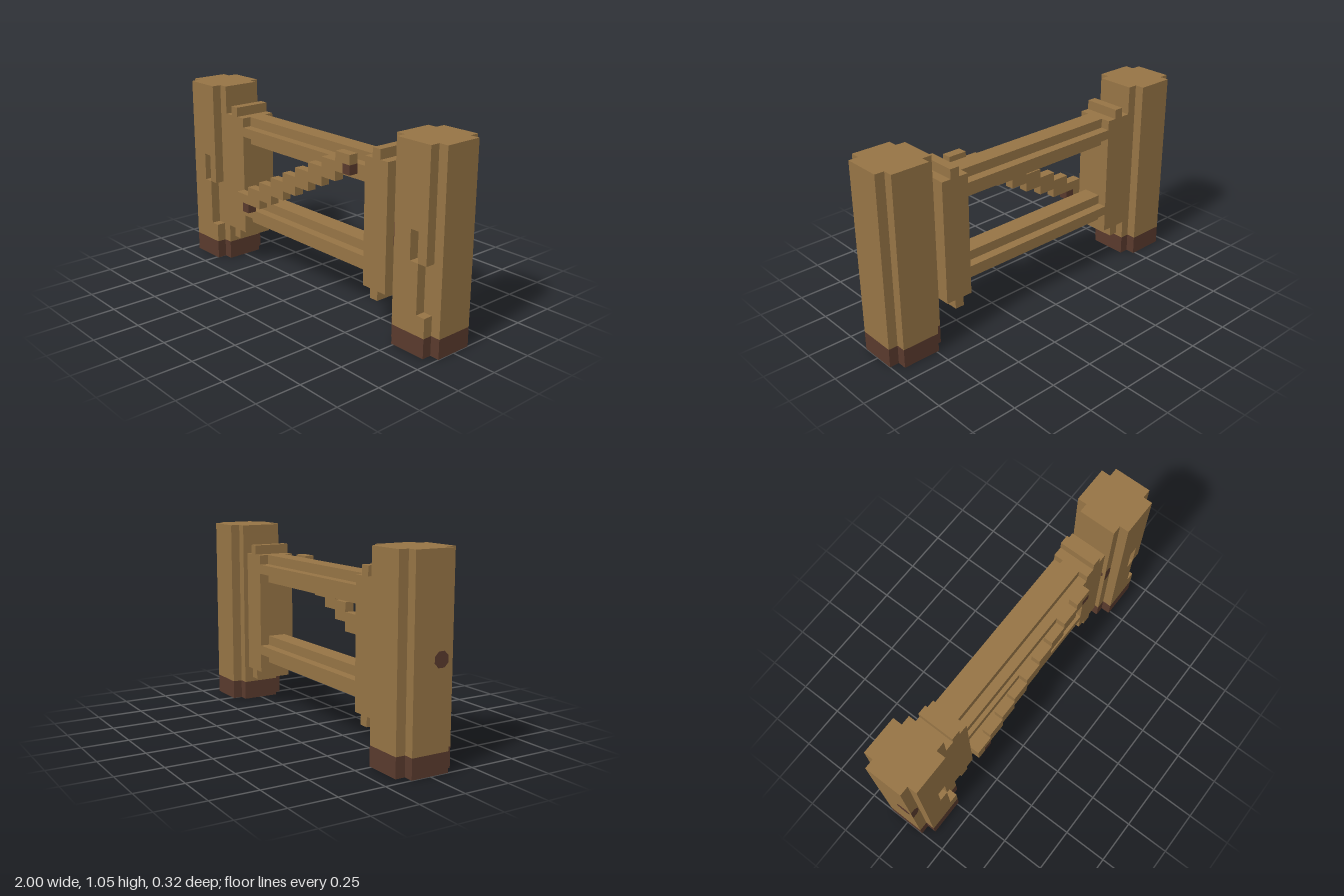
import * as THREE from 'three';
import { mergeGeometries } from 'three/addons/utils/BufferGeometryUtils.js';

const U = 1 / 19; // one block

// Box from block limits: x0, x1, y0, y1, z0, z1
function box([x0, x1, y0, y1, z0, z1]) {
  const g = new THREE.BoxGeometry((x1 - x0) * U, (y1 - y0) * U, (z1 - z0) * U);
  return g.translate((x0 + x1) / 2 * U, (y0 + y1) / 2 * U, (z0 + z1) / 2 * U);
}

function blocks(name, material, list) {
  const mesh = new THREE.Mesh(mergeGeometries(list.map(box)), material);
  mesh.name = name;
  return mesh;
}

// Cross-shaped column standing between two heights
function crossColumn(name, material, y0, y1) {
  const pts = [[-3, -2], [-2, -2], [-2, -3], [2, -3], [2, -2], [3, -2],
    [3, 2], [2, 2], [2, 3], [-2, 3], [-2, 2], [-3, 2]];
  const shape = new THREE.Shape(pts.map(([x, z]) => new THREE.Vector2(x * U, z * U)));
  const g = new THREE.ExtrudeGeometry(shape, { depth: (y1 - y0) * U, bevelEnabled: false });
  g.rotateX(-Math.PI / 2).translate(0, y0 * U, 0);
  const mesh = new THREE.Mesh(g, material);
  mesh.name = name;
  return mesh;
}

export function createModel() {
  const wood = new THREE.MeshStandardMaterial({ color: 0x967445 });
  wood.name = 'wood';
  const dark = new THREE.MeshStandardMaterial({ color: 0x593a2d });
  dark.name = 'dark wood';
  const model = new THREE.Group();
  model.name = 'gate';

  // Posts: dark foot, plain shaft, front rib with a chipped groove, knots
  function post(name, cx) {
    const g = new THREE.Group();
    g.name = name;
    g.add(crossColumn('postFoot', dark, 0, 2));
    g.add(blocks('postShaft', wood, [
      [-3, 3, 2, 20, -2, 2],
      [-2, 2, 2, 20, -3, -2],
    ]));
    g.add(blocks('postFrontRib', wood, [
      [-2, 0, 2, 20, 2, 3],
      [0, 1, 2, 9, 2, 3],
      [0, 1, 12, 20, 2, 3],
      [1, 2, 2, 4, 2, 3],
      [1, 2, 9, 20, 2, 3],
    ]));
    const half = new THREE.Shape([[-3, 9.35], [-2.45, 9.35], [-2.12, 9.85], [-2.12, 11.05],
      [-2.45, 11.6], [-3, 11.6]].map(([x, y]) => new THREE.Vector2(x * U, y * U)));
    const frontKnot = new THREE.Mesh(new THREE.ShapeGeometry(half), dark);
    frontKnot.name = 'frontKnot';
    frontKnot.position.z = 2 * U + 0.002;
    const sideKnot = new THREE.Mesh(
      new THREE.CylinderGeometry(0.042, 0.042, 0.004, 8).rotateY(Math.PI / 8).rotateZ(Math.PI / 2), dark);
    sideKnot.name = 'sideKnot';
    sideKnot.position.set(-3 * U, 10.4 * U, 0.95 * U);
    g.add(frontKnot, sideKnot);
    g.position.x = cx * U;
    model.add(g);
  }
  post('rightPost', -16);
  post('leftPost', 16);

  // Stiles with a small lug through top and bottom
  model.add(blocks('hingeStile', wood, [[-13, -10, 4, 17, -2, 2], [-12, -11, 17, 18, -2, 2], [-12, -11, 3, 4, -2, 2]]));
  model.add(blocks('latchStile', wood, [[9, 12, 4, 17, -2, 2], [10, 11, 17, 18, -2, 2], [10, 11, 3, 4, -2, 2]]));

  // Rails with a ridge along the middle
  for (const [name, y] of [['lowerRail', 5], ['upperRail', 14]]) {
    model.add(blocks(name, wood, [
      [-10, 9, y, y + 3, -1, 1],
      [-10, 9, y + 1, y + 2, 1, 2],
      [-10, 9, y + 1, y + 2, -2, -1],
    ]));
  }

  // Stepped diagonal brace, with a dark peg at each end
  const steps = [[-10, -8, 8, 9, 2, 3], [-10, -9, 7, 8, 2, 3]];
  for (let k = 1; k < 8; k++) steps.push([-10 + 2 * k, -8 + 2 * k, 7 + k, 9 + k, 2, 3]);
  steps.push([6, 8, 16, 17, 2, 3], [6, 7, 15, 16, 2, 3]);
  model.add(blocks('diagonalBrace', wood, steps));
  model.add(blocks('lowerPeg', dark, [[-9, -8, 7, 8, 2, 3]]));
  model.add(blocks('upperPeg', dark, [[7, 8, 15, 16, 2, 3]]));

  return model;
}
